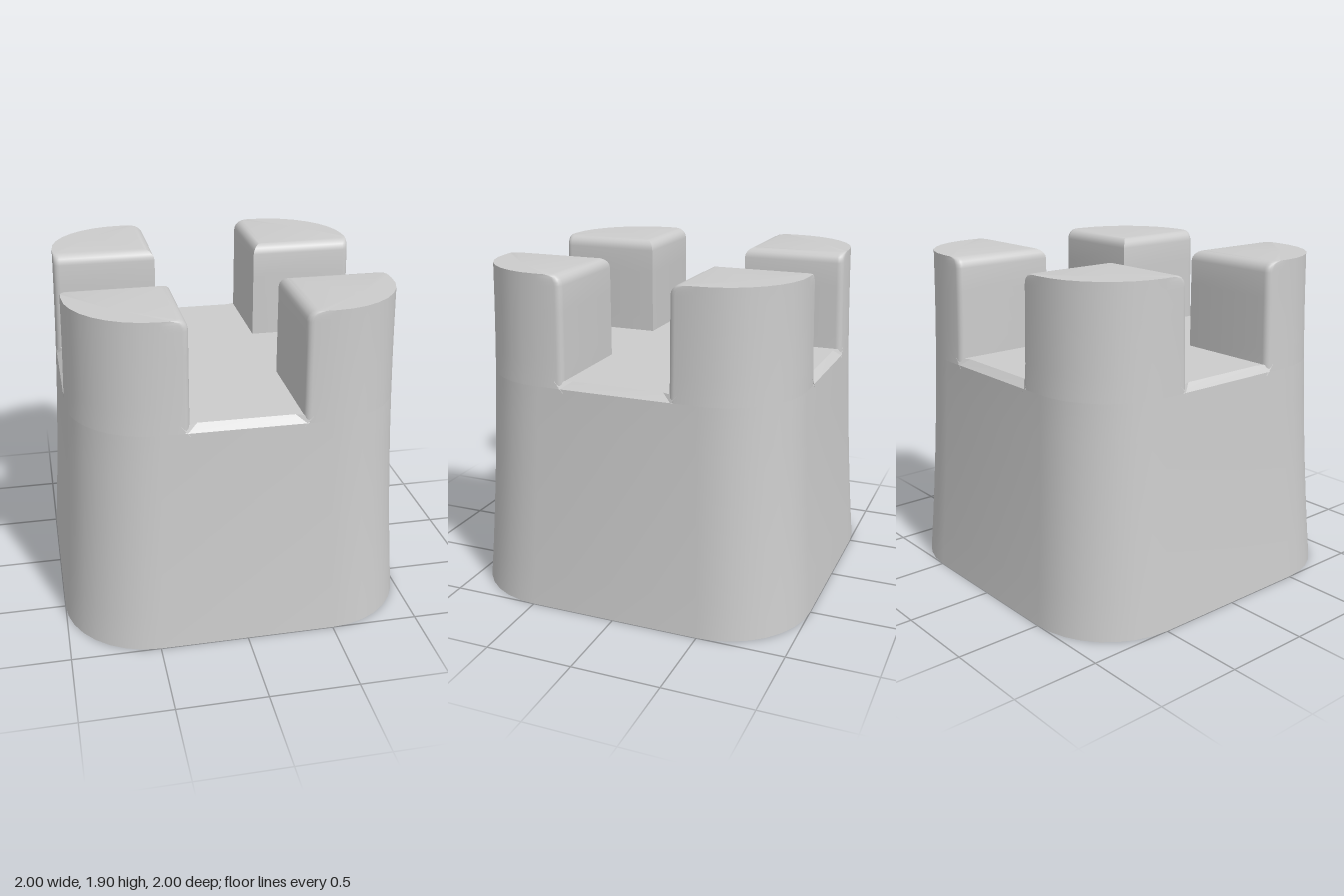
import * as THREE from 'three';
import { toCreasedNormals } from 'three/addons/utils/BufferGeometryUtils.js';
import { ConvexGeometry } from 'three/addons/geometries/ConvexGeometry.js';

const TOP = 1.905, FLOOR = 1.33, CHAMFER = 0.04, NOTCH = 0.305;

// Half width of the gently flaring wall at a height
const wall = y => 1 - 0.085 * y + 0.0185 * y * y;

// Points of an arc in the x-z plane
function arc(cx, cz, r, from, to, steps) {
  return Array.from({ length: steps + 1 }, (_, i) => {
    const t = from + (to - from) * i / steps;
    return [cx + r * Math.cos(t), cz + r * Math.sin(t)];
  });
}

// Closed solid through rings of [x, z] points at given heights
function loft(rings) {
  const pos = [], idx = [], n = rings[0].points.length;
  for (const { y, points } of rings) for (const [x, z] of points) pos.push(x, y, z);
  for (let k = 0; k < rings.length - 1; k++) {
    for (let i = 0; i < n; i++) {
      const a = k * n + i, b = k * n + (i + 1) % n;
      idx.push(a, a + n, b, b, a + n, b + n);
    }
  }
  const cap = (k, up) => {
    const { y, points } = rings[k], c = pos.length / 3;
    const mean = j => points.reduce((s, p) => s + p[j], 0) / n;
    pos.push(mean(0), y, mean(1));
    for (let i = 0; i < n; i++) {
      const a = k * n + i, b = k * n + (i + 1) % n;
      idx.push(c, up ? b : a, up ? a : b);
    }
  };
  cap(0, false);
  cap(rings.length - 1, true);
  const geo = new THREE.BufferGeometry();
  geo.setAttribute('position', new THREE.Float32BufferAttribute(pos, 3));
  geo.setIndex(idx);
  return toCreasedNormals(geo, 0.6);
}

// Rounded square outline
function roundedSquare(w, r) {
  const c = w - r, q = Math.PI / 2;
  return [[c, c], [-c, c], [-c, -c], [c, -c]]
    .flatMap(([x, z], i) => arc(x, z, r, i * q, (i + 1) * q, 8));
}

// Outline of one corner block: square inside, rounded outside
function merlonOutline(w, a) {
  const r = 0.5 * w, e = 0.035, q = Math.PI / 2;
  return [
    [a, a],
    ...arc(w - e, a + e, e, -q, 0, 4),
    ...arc(w - r, w - r, r, 0, q, 8),
    ...arc(a + e, w - e, e, q, 2 * q, 4),
  ];
}

export function createModel() {
  const group = new THREE.Group();
  const material = new THREE.MeshStandardMaterial({ color: 0xcccccc });
  const add = (name, geo, turn = 0) => {
    const mesh = new THREE.Mesh(geo, material);
    mesh.name = name;
    mesh.rotation.y = turn * Math.PI / 2;
    group.add(mesh);
  };

  // Tower body with a chamfered floor edge
  const edge = FLOOR - CHAMFER;
  const bodyRings = [];
  for (let i = 0; i <= 6; i++) {
    const y = edge * i / 6, w = wall(y);
    bodyRings.push({ y, points: roundedSquare(w, 0.5 * w) });
  }
  const wTop = wall(edge);
  bodyRings.push({ y: FLOOR, points: roundedSquare(wTop - CHAMFER, 0.5 * wTop - CHAMFER) });
  add('towerBody', loft(bodyRings));

  // Corner block whose two inner top edges are rounded over
  const merlonRings = [], round = 0.06;
  const ring = (y, a) => merlonRings.push({ y, points: merlonOutline(wall(y), a) });
  for (let i = 0; i < 4; i++) ring(edge + (TOP - round - edge) * i / 4, NOTCH);
  for (let i = 0; i <= 5; i++) {
    const t = i / 5 * Math.PI / 2;
    ring(TOP - round + round * Math.sin(t), NOTCH + round * (1 - Math.cos(t)));
  }
  const merlon = loft(merlonRings);

  // Small facet where each notch meets the outer wall
  const facet = s => new ConvexGeometry([
    new THREE.Vector3(s * 0.355, FLOOR, wall(FLOOR) + 0.001),
    new THREE.Vector3(s * 0.25, FLOOR, 0.875),
    new THREE.Vector3(s * 0.305, 1.27, wall(1.27) + 0.001),
    new THREE.Vector3(s * 0.32, FLOOR, 0.86),
  ]);
  const facets = [facet(-1), facet(1)];

  for (let i = 0; i < 4; i++) {
    add('merlon', merlon, i);
    facets.forEach(f => add('notchCornerFacet', f, i));
  }
  return group;
}
